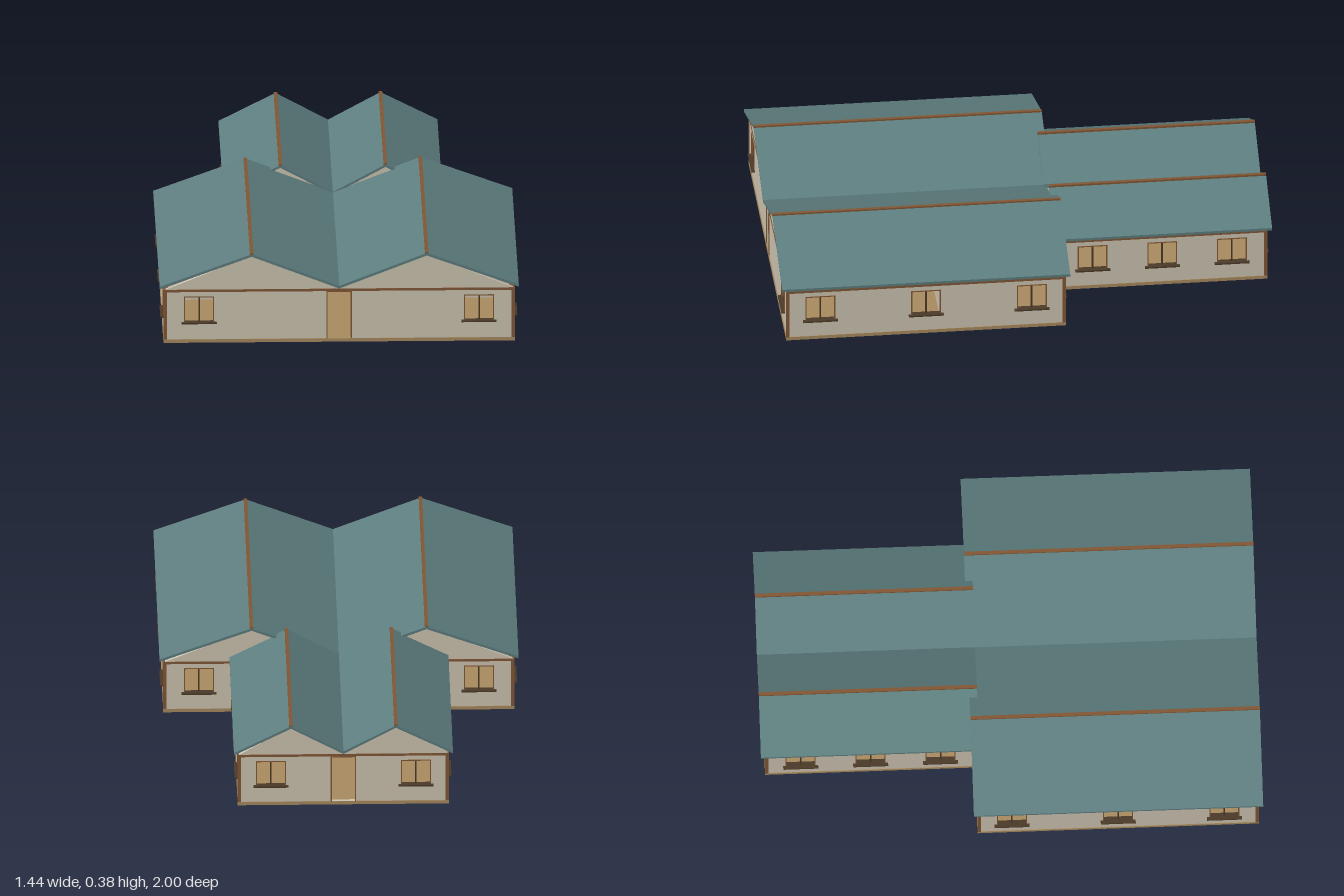
import * as THREE from 'three';

const mat = (name, color) => Object.assign(new THREE.MeshStandardMaterial({ color }), { name });
const M = {
  wall: mat('plaster', 0xd0c7b4),
  roof: mat('roof teal', 0x5f7f80),
  wood: mat('wood trim', 0x835835),
  dark: mat('dark frame', 0x4c3a28),
  floor: mat('floor tan', 0xa98c60),
};

const T = 0.014;        // wall thickness
const FLOOR = 0.014;    // top of the slab
const EAVE = 0.222;     // top of the straight walls
const WIN = { w: 0.12, y0: 0.085, y1: 0.195 };
const DOOR = { w: 0.092, y1: 0.21 };

function box(parent, name, material, w, h, d, x, y, z) {
  const m = new THREE.Mesh(new THREE.BoxGeometry(w, h, d), material);
  m.name = name;
  m.position.set(x, y, z);
  parent.add(m);
  return m;
}

const shapeOf = (pts) => new THREE.Shape(pts.map(([x, y]) => new THREE.Vector2(x, y)));

function rectHole(x0, y0, x1, y1) {
  return new THREE.Path([[x0, y0], [x0, y1], [x1, y1], [x1, y0]].map(([x, y]) => new THREE.Vector2(x, y)));
}

// Window frame, mullion and sill around local x
function addWindow(g, x) {
  const h = WIN.y1 - WIN.y0, yc = (WIN.y0 + WIN.y1) / 2, t = 0.004;
  for (const s of [-1, 1]) {
    box(g, 'windowJamb', M.wood, t, h, T + 0.004, x + s * (WIN.w - t) / 2, yc, -T / 2);
  }
  box(g, 'windowHead', M.wood, WIN.w, t, T + 0.004, x, WIN.y1 - t / 2, -T / 2);
  box(g, 'windowMullion', M.dark, 0.006, h, 0.008, x, yc, -T / 2);
  box(g, 'windowSill', M.dark, 0.14, 0.006, T + 0.016, x, WIN.y0, -T / 2 + 0.006);
}

// Door frame around local x = 0
function addDoor(g) {
  const h = DOOR.y1 - FLOOR, t = 0.005;
  for (const s of [-1, 1]) {
    box(g, 'doorJamb', M.wood, t, h, T + 0.006, s * (DOOR.w + t) / 2, FLOOR + h / 2, -T / 2);
  }
  box(g, 'doorHead', M.wood, DOOR.w + 2 * t, t, T + 0.006, 0, DOOR.y1 + t / 2, -T / 2);
}

// Wall with outer face on local z = 0; peak gives a twin-gable top
function addWall(parent, name, half, { peak = 0, windows = [], door = false, x = 0, z = 0, turn = 0 }) {
  const g = new THREE.Group();
  g.name = name;
  const pts = [[-half, 0.005], [half, 0.005], [half, EAVE]];
  if (peak) pts.push([half / 2, peak], [0, EAVE + 0.008], [-half / 2, peak]);
  pts.push([-half, EAVE]);
  const shape = shapeOf(pts);
  for (const wx of windows) shape.holes.push(rectHole(wx - WIN.w / 2, WIN.y0, wx + WIN.w / 2, WIN.y1));
  if (door) shape.holes.push(rectHole(-DOOR.w / 2, FLOOR, DOOR.w / 2, DOOR.y1));
  const geo = new THREE.ExtrudeGeometry(shape, { depth: T, bevelEnabled: false }).translate(0, 0, -T);
  const panel = new THREE.Mesh(geo, M.wall);
  panel.name = 'wallPanel';
  g.add(panel);
  windows.forEach((wx) => addWindow(g, wx));
  if (door) addDoor(g);
  box(g, 'topBeam', M.wood, half * 2, 0.01, T + 0.004, 0, 0.219, -T / 2);
  g.position.set(x, 0, z);
  g.rotation.y = turn;
  parent.add(g);
}

// Twin-gable folded roof running from z0 to z1, with ridge caps
function addRoof(parent, name, { half, ridgeX, ridgeY, valleyY, eaveY, z0, z1 }) {
  const t = 0.011;
  const top = [[-half, eaveY], [-ridgeX, ridgeY], [0, valleyY], [ridgeX, ridgeY], [half, eaveY]];
  const under = top.map(([x, y]) => [x, y - t]);
  const geo = new THREE.ExtrudeGeometry(shapeOf([...under, ...top.reverse()]), { depth: z1 - z0, bevelEnabled: false });
  const g = new THREE.Group();
  g.name = name;
  const sheet = new THREE.Mesh(geo.translate(0, 0, z0), M.roof);
  sheet.name = 'roofSheet';
  g.add(sheet);
  for (const s of [-1, 1]) {
    box(g, 'ridgeCap', M.wood, 0.014, 0.008, z1 - z0, s * ridgeX, ridgeY, (z0 + z1) / 2);
  }
  parent.add(g);
}

export function createModel() {
  const house = new THREE.Group();
  house.name = 'house';
  const Q = Math.PI / 2;
  const main = { half: 0.7, z0: -0.14, z1: 0.98, peak: 0.366 };
  const rear = { half: 0.42, z0: -0.98, z1: -0.14, peak: 0.346 };

  // Floor slabs
  for (const b of [main, rear]) {
    box(house, 'floorSlab', M.floor, b.half * 2 + 0.006, FLOOR, b.z1 - b.z0 + 0.006, 0, FLOOR / 2, (b.z0 + b.z1) / 2);
  }

  // Gable walls
  addWall(house, 'frontWall', main.half, { peak: main.peak, windows: [-0.56, 0.56], door: true, z: main.z1 });
  addWall(house, 'middleWall', main.half, { peak: main.peak, windows: [-0.56, 0.56], door: true, z: main.z0, turn: Math.PI });
  addWall(house, 'backWall', rear.half, { peak: rear.peak, windows: [-0.29, 0.29], door: true, z: rear.z0, turn: Math.PI });

  // Side walls and corner posts
  for (const s of [-1, 1]) {
    for (const [b, gap] of [[main, 0.425], [rear, 0.28]]) {
      addWall(house, s > 0 ? 'leftWall' : 'rightWall', (b.z1 - b.z0) / 2, {
        windows: [-gap, 0, gap], x: s * b.half, z: (b.z0 + b.z1) / 2, turn: s * Q,
      });
      for (const [z, d] of [[b.z0, 1], [b.z1, -1]]) {
        const inner = b === rear && d < 0;
        box(house, 'cornerPost', M.wood, 0.014, EAVE - FLOOR, 0.014, s * (b.half - 0.004), (EAVE + FLOOR) / 2, z + (inner ? -0.007 : d * 0.004));
      }
    }
  }

  // Inner partitions beside the central passage
  const h = EAVE - FLOOR, yc = (EAVE + FLOOR) / 2;
  for (const s of [-1, 1]) {
    for (const [z0, z1] of [[0.5, 0.966], [-0.126, 0.35], [-0.295, -0.154], [-0.77, -0.35], [-0.966, -0.82]]) {
      box(house, 'passageWall', M.wall, 0.01, h, z1 - z0, s * 0.1, yc, (z0 + z1) / 2);
    }
    for (const z of [0.35, 0.5]) box(house, 'roomWall', M.wall, 0.58, h, 0.01, s * 0.39, yc, z);
  }

  // Small gable infill where the rear roof rises over the main one
  const infill = new THREE.Mesh(new THREE.ExtrudeGeometry(
    shapeOf([[-0.42, EAVE], [0.42, EAVE], [0.21, rear.peak], [0, 0.23], [-0.21, rear.peak]]),
    { depth: 0.006, bevelEnabled: false }).translate(0, 0, -0.139), M.wall);
  infill.name = 'rearGableInfill';
  house.add(infill);

  // Roofs
  addRoof(house, 'mainRoof', { half: 0.718, ridgeX: 0.35, ridgeY: 0.379, valleyY: 0.242, eaveY: 0.244, z0: -0.158, z1: 1 });
  addRoof(house, 'rearRoof', { half: 0.438, ridgeX: 0.21, ridgeY: 0.359, valleyY: 0.244, eaveY: 0.242, z0: -1, z1: -0.127 });
  return house;
}
